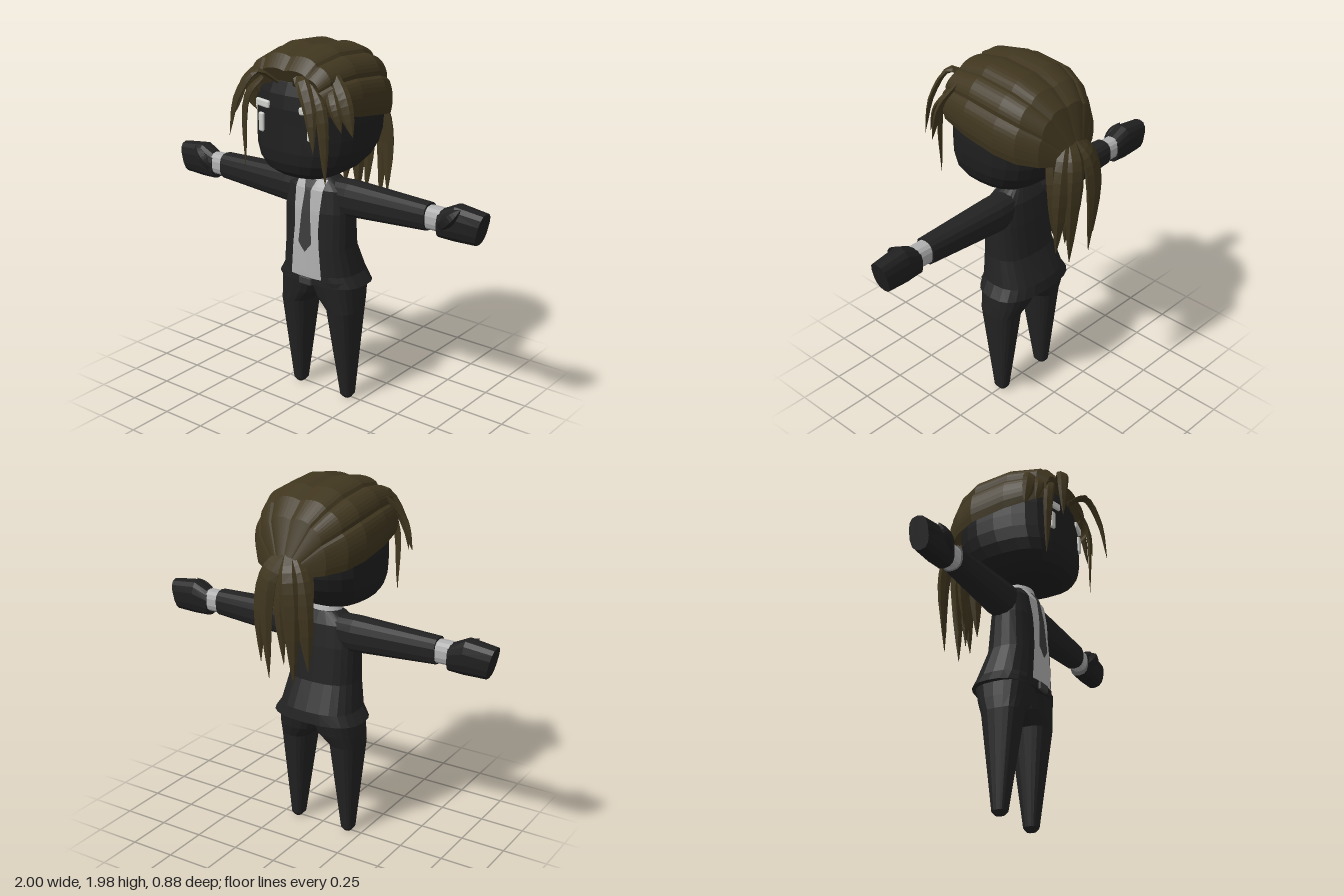
import * as THREE from 'three';
import { RoundedBoxGeometry } from 'three/addons/geometries/RoundedBoxGeometry.js';

const V = (x, y, z) => new THREE.Vector3(x, y, z);
const range = n => Array.from({ length: n }, (_, i) => i);
const { lerp } = THREE.MathUtils;

// Skin a list of point rings into a faceted surface facing outwards.
function loft(rings, closed = true) {
  const n = rings[0].length, pts = rings.flat(), idx = [];
  for (let i = 0; i < rings.length - 1; i++)
    for (let j = 0; j < (closed ? n : n - 1); j++) {
      const a = i * n + j, b = i * n + (j + 1) % n;
      idx.push(a, b, b + n, a, b + n, a + n);
    }
  if (closed) {
    const last = pts.length - n;
    for (let j = 1; j < n - 1; j++) idx.push(0, j + 1, j, last, last + j, last + j + 1);
  }
  // flip when the enclosed volume is negative
  const at = i => pts[i].clone().sub(pts[0]);
  let volume = 0;
  for (let k = 0; k < idx.length; k += 3) volume += at(idx[k]).dot(at(idx[k + 1]).cross(at(idx[k + 2])));
  if (volume < 0) idx.reverse();
  const geometry = new THREE.BufferGeometry().setFromPoints(idx.map(i => pts[i]));
  geometry.computeVertexNormals();
  return geometry;
}

// Rounded-square rings, each row [position along axis, a0, a1, b0, b1].
const power = (v, p) => Math.sign(v) * Math.abs(v) ** (2 / p);
const P = 2.6;
function tube(axis, rows, n = 20) {
  return loft(rows.map(([at, a0, a1, b0, b1]) => range(n).map(i => {
    const t = i / n * Math.PI * 2;
    const a = (a0 + a1) / 2 + (a1 - a0) / 2 * power(Math.cos(t), P);
    const b = (b0 + b1) / 2 + (b1 - b0) / 2 * power(Math.sin(t), P);
    return axis === 'y' ? V(a, at, b) : V(at, a, b);
  })));
}

// Flat lock of hair that swells and then tapers to a tip.
function lock(points, width, side, thick) {
  const curve = new THREE.CatmullRomCurve3(points.map(p => V(...p)));
  return loft(range(11).map(i => {
    const t = i / 10, w = width * Math.max(0.03, (0.6 + 1.2 * t) * (1 - t ** 2.5));
    const c = curve.getPoint(t), tangent = curve.getTangent(t);
    const u = side.clone().addScaledVector(tangent, -side.dot(tangent)).normalize();
    const v = tangent.cross(u);
    return range(6).map(j => {
      const a = j / 6 * Math.PI * 2;
      return c.clone().addScaledVector(u, w * Math.cos(a)).addScaledVector(v, w * thick * Math.sin(a));
    });
  }));
}

// Linear lookup in rows sorted by their first column.
function keyed(rows, v) {
  let i = 0;
  while (i < rows.length - 2 && v > rows[i + 1][0]) i++;
  const a = rows[i], b = rows[i + 1], t = (v - a[0]) / (b[0] - a[0]);
  return a.map((q, k) => lerp(q, b[k], t));
}

// Jacket body: [y, halfWidth, zBack, zFront]
const TORSO = [[0.69, 0.265, -0.185, 0.16], [0.75, 0.225, -0.175, 0.162], [0.9, 0.2, -0.11, 0.162],
  [1.1, 0.2, -0.088, 0.15], [1.22, 0.185, -0.07, 0.13], [1.285, 0.09, -0.04, 0.09]];

// Thin sheet lying on the chest, from [y, halfWidth] rows.
function chestPlate(rows, lift) {
  const bottom = rows[0][0], top = rows.at(-1)[0];
  return loft(range(31).map(i => {
    const y = lerp(bottom, top, i / 30), half = keyed(rows, y)[1];
    const [, w, back, front] = keyed(TORSO, y);
    return range(5).map(j => {
      const x = half * (j / 2 - 1), bulge = (1 - Math.abs(x / w) ** P) ** (1 / P);
      return V(x, y, (back + front) / 2 + (front - back) / 2 * bulge + lift);
    });
  }), false);
}

export function createModel() {
  const model = new THREE.Group();
  model.name = 'figure';
  const mat = (name, color, side = THREE.FrontSide) => {
    const m = new THREE.MeshStandardMaterial({ color, side });
    m.name = name;
    return m;
  };
  const suit = mat('suit black', 0x222222), skin = mat('skin black', 0x1f1f1f);
  const hair = mat('brown hair', 0x40361f, THREE.DoubleSide);
  const shirt = mat('shirt grey', 0xb0b0b0, THREE.DoubleSide);
  const tie = mat('tie grey', 0x3c3c3c, THREE.DoubleSide), light = mat('face marks', 0xd0d0cc);
  const add = (name, geometry, material) => {
    const m = new THREE.Mesh(geometry, material);
    m.name = name;
    model.add(m);
    return m;
  };

  // Head: a squarish ball with the chin brought forward
  add('head', tube('y', range(13).map(i => {
    const u = -Math.cos(lerp(0.12, 3.02, i / 12)), r = 0.304 * (1 - Math.abs(u) ** 2.8) ** (1 / 2.8);
    const z = 0.03 + 0.09 * Math.min(0, u) ** 2;
    return [1.61 + 0.31 * u, -r, r, z - r, z + r];
  }), 24), skin);

  // Jacket, collar, shirt front, tie and buckle
  add('jacket', tube('y', TORSO.map(([y, w, b, f]) => [y, -w, w, b, f]), 24), suit);
  const collar = add('collar', new THREE.CylinderGeometry(0.085, 0.105, 0.06, 16), shirt);
  collar.position.set(0, 1.275, 0.033);
  collar.scale.z = 0.8;
  add('shirtFront', chestPlate([[0.73, 0.1], [1, 0.078], [1.27, 0.09]], 0.005), shirt);
  add('tie', chestPlate([[0.875, 0], [0.925, 0.043], [1.21, 0.018], [1.265, 0.036]], 0.011), tie);
  add('buckle', new RoundedBoxGeometry(0.08, 0.042, 0.02, 1, 0.005), tie).position.set(0, 0.708, 0.165);

  // Cap of twelve swept-back strands: [z, yBottom, halfWidth, yTop]
  const cap = [[0.29, 1.64, 0.22, 1.82], [0.325, 1.69, 0.255, 1.89], [0.27, 1.675, 0.295, 1.955],
    [0.1, 1.65, 0.325, 1.99], [-0.1, 1.62, 0.325, 1.975], [-0.21, 1.595, 0.285, 1.93],
    [-0.3, 1.58, 0.21, 1.85], [-0.375, 1.56, 0.06, 1.64]];
  add('hairCap', loft(cap.map(([z, bottom, w, top]) => range(49).map(i => {
    const a = i / 48 * Math.PI, r = 0.945 + 0.055 * Math.sqrt(Math.abs(Math.sin(6 * a)));
    return V(w * r * power(Math.cos(a), P), bottom + (top - bottom) * r * power(Math.sin(a), P), z);
  })), false), hair);

  // Front locks: name, half width, path
  const locks = [
    ['Fringe', 0.036, [[0.06, 1.81, 0.3], [0.14, 1.87, 0.37], [0.23, 1.74, 0.415], [0.27, 1.53, 0.435]]],
    ['TempleLock', 0.032, [[0.15, 1.83, 0.31], [0.235, 1.72, 0.335], [0.262, 1.34, 0.33]]],
    ['SideLock', 0.042, [[0.22, 1.88, 0.22], [0.315, 1.77, 0.26], [0.38, 1.595, 0.265]]],
    ['SmallLock', 0.03, [[0.22, 1.84, 0.25], [0.295, 1.75, 0.31], [0.345, 1.62, 0.31]]],
  ];
  // Ponytail strand tips
  const tails = [[0.145, 1.08, -0.37], [0.075, 1.01, -0.4], [0.07, 1.13, -0.28], [0.03, 1.07, -0.33]];

  // Mirrored left and right parts
  for (const s of [1, -1]) {
    const side = s > 0 ? 'left' : 'right';
    const mirror = rows => rows.map(([x, ...rest]) => [s * x, ...rest]);

    // Sleeve, cuff and mitten hand with slanted knuckles
    add(side + 'Sleeve', tube('x', mirror([[0.1, 1.09, 1.268, -0.06, 0.1], [0.2, 1.08, 1.272, -0.065, 0.1],
      [0.68, 1.112, 1.256, -0.042, 0.08]]), 14), suit);
    add(side + 'Cuff', tube('x', [0.66, 0.765].map(x => [s * x, 1.121, 1.245, -0.034, 0.07]), 14), shirt);
    const hand = tube('x', mirror([[0.75, 1.095, 1.24, -0.04, 0.075], [0.84, 1.092, 1.285, -0.05, 0.08],
      [0.98, 1.095, 1.265, -0.042, 0.068]]), 14);
    const p = hand.attributes.position;
    for (let i = 0; i < p.count; i++)
      if (Math.abs(p.getX(i)) > 0.9) p.setX(i, p.getX(i) + s * (p.getY(i) - 1.18) * 0.23);
    hand.computeVertexNormals();
    add(side + 'Hand', hand, skin);
    add(side + 'Thumb', lock(mirror([[0.76, 1.15, 0.055], [0.82, 1.21, 0.075], [0.88, 1.275, 0.06]]),
      0.036, V(s, -1, 0), 0.8), skin);

    // Trouser leg tapering to a blunt foot
    add(side + 'Leg', tube('y', [[0, 0.145, 0.185, -0.022, 0.028], [0.02, 0.128, 0.2, -0.038, 0.045],
      [0.54, 0.066, 0.24, -0.1, 0.125], [0.61, 0, 0.238, -0.13, 0.136], [0.72, -0.05, 0.232, -0.16, 0.152],
    ].map(([y, a, b, ...z]) => [y, s * a, s * b, ...z])), suit);

    // Eye and eyebrow
    const mark = (name, w, h, x, y) => {
      const m = add(side + name, new RoundedBoxGeometry(w, h, 0.022, 2, 0.01), light);
      m.position.set(s * x, y, 0.315);
      m.rotation.y = s * 0.22;
    };
    mark('Eye', 0.036, 0.1, 0.158, 1.593);
    mark('Brow', 0.105, 0.04, 0.147, 1.693);

    // Hair locks and ponytail
    for (const [name, width, path] of locks)
      add(side + name, lock(mirror(path), width, V(s, 0, -0.5), 0.4), hair);
    tails.forEach(([x, y, z], i) => add(`${side}Tail${i + 1}`, lock(mirror([
      [x * 0.2, 1.67, -0.34], [x * 0.55 + 0.01, 1.58, z], [x * 0.8 + 0.015, 1.4, z - 0.015], [x, y, z],
    ]), 0.056, V(s, 0, 0.3), 0.55), hair));
  }
  return model;
}
